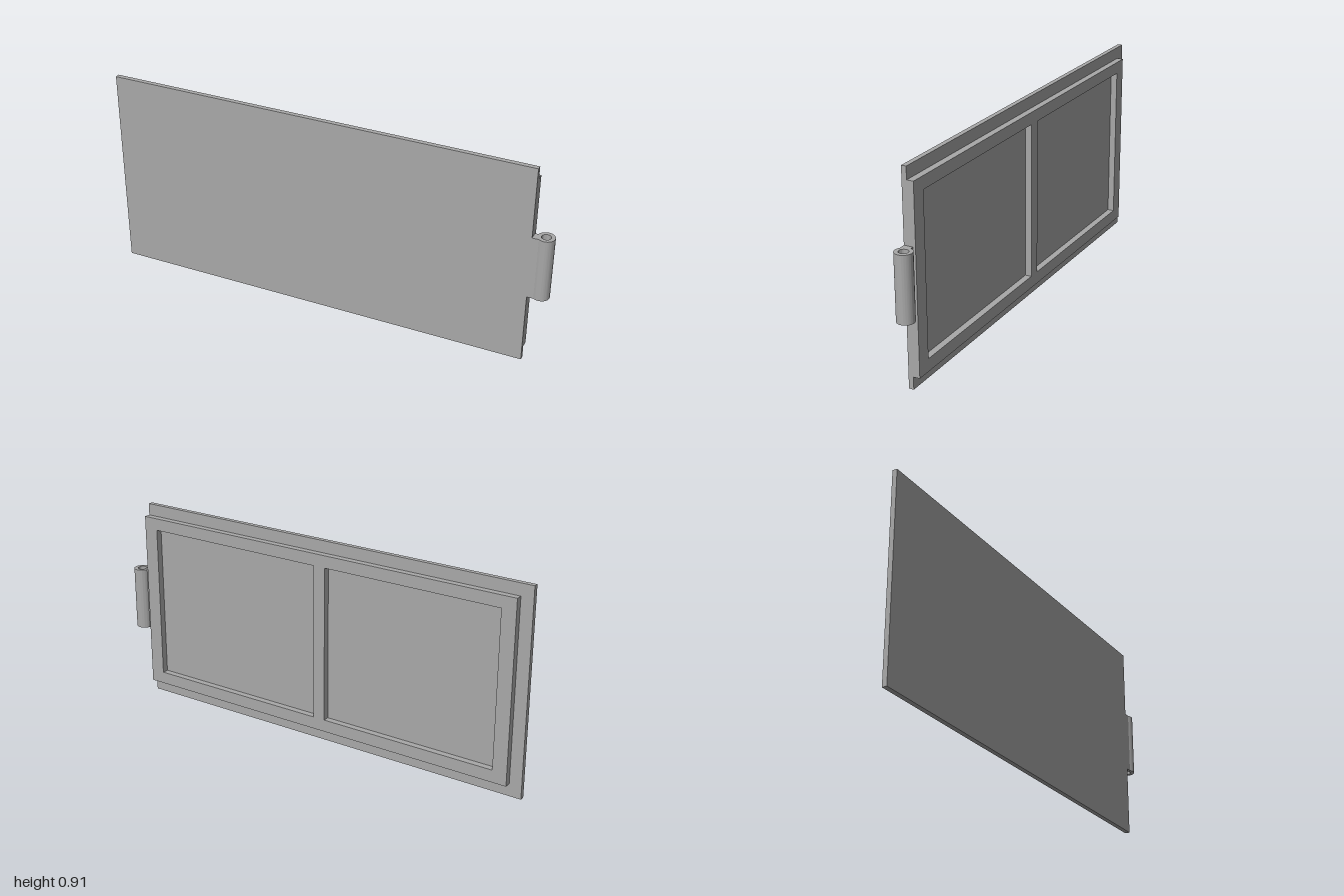
import * as THREE from 'three';
import { toCreasedNormals } from 'three/addons/utils/BufferGeometryUtils.js';

// Traces a rectangle onto a Shape or Path
function rect(path, x0, y0, x1, y1) {
  path.moveTo(x0, y0);
  path.lineTo(x1, y0);
  path.lineTo(x1, y1);
  path.lineTo(x0, y1);
  path.closePath();
  return path;
}

export function createModel() {
  const group = new THREE.Group();
  const grey = new THREE.MeshStandardMaterial({ color: 0xa8a8a8 });
  grey.name = 'grey';

  const add = (name, geometry) => {
    const mesh = new THREE.Mesh(geometry, grey);
    mesh.name = name;
    group.add(mesh);
  };

  const right = 0.913, height = 0.913;
  const front = 0.03, seam = 0.0085, back = -0.0205;

  // Flat front panel
  const panel = new THREE.BoxGeometry(right + 1, height, front - seam);
  panel.translate((right - 1) / 2, height / 2, (front + seam) / 2);
  add('frontPanel', panel);

  // Raised back frame with two openings
  const frame = rect(new THREE.Shape(), -0.945, 0.055, right, 0.86);
  for (const [x0, x1] of [[-0.88, -0.064], [-0.008, 0.847]]) {
    frame.holes.push(rect(new THREE.Path(), x0, 0.11, x1, 0.806));
  }
  const frameGeometry = new THREE.ExtrudeGeometry(frame, { depth: seam - back, bevelEnabled: false });
  frameGeometry.translate(0, 0, back);
  add('backFrame', frameGeometry);

  // Hinge: a leaf flush with the panel, ending in a hollow barrel
  const cx = 0.963, radius = 0.037, leafBack = -0.009;
  const startAngle = Math.PI + Math.asin(front / radius);
  const endAngle = Math.PI - Math.asin(-leafBack / radius);
  const hinge = new THREE.Shape();
  hinge.moveTo(right, -leafBack);
  hinge.lineTo(right, -front);
  hinge.absarc(cx, 0, radius, startAngle, endAngle + Math.PI * 2, false);
  hinge.closePath();
  const bore = new THREE.Path();
  bore.absarc(cx, 0, 0.02, 0, Math.PI * 2, true);
  hinge.holes.push(bore);
  const hingeGeometry = new THREE.ExtrudeGeometry(hinge, {
    depth: 0.283, bevelEnabled: false, curveSegments: 32,
  });
  hingeGeometry.rotateX(-Math.PI / 2);
  hingeGeometry.translate(0, 0.317, 0);
  add('hingeBarrel', toCreasedNormals(hingeGeometry, 0.5));

  return group;
}
